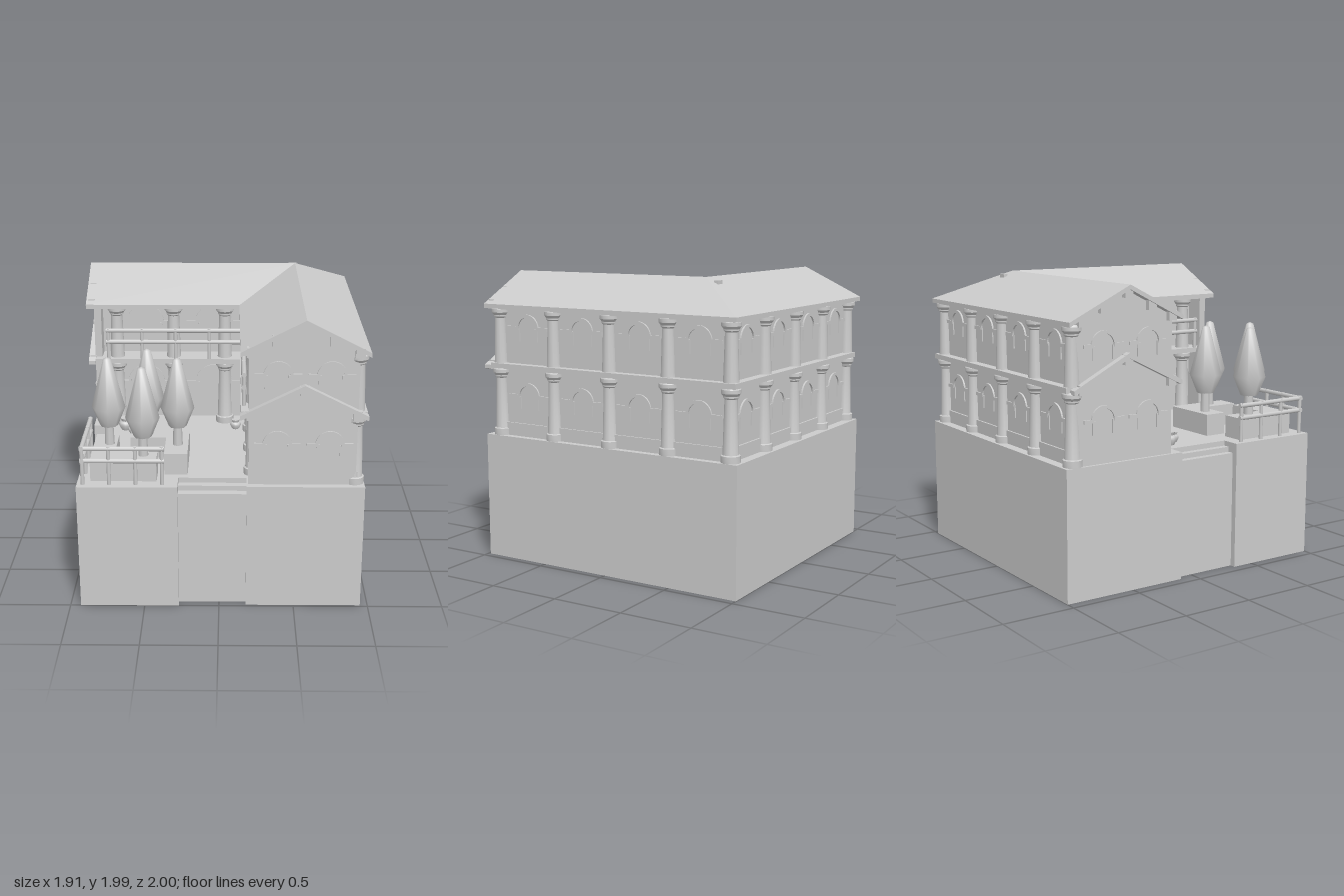
import * as THREE from 'three';
import { toCreasedNormals } from 'three/addons/utils/BufferGeometryUtils.js';

const mat = new THREE.MeshStandardMaterial({ color: 0xcccccc });
const RX = 0.545, RZ = -0.545; // ridge lines of the two wings
const GROUND = 0.87, FLOOR = 1.375;

export function createModel() {
  const root = new THREE.Group();

  const add = (name, geo, x = 0, y = 0, z = 0, parent = root) => {
    const m = new THREE.Mesh(geo, mat);
    m.name = name;
    m.position.set(x, y, z);
    parent.add(m);
    return m;
  };
  // box given by its limits
  const box = (name, x0, x1, y0, y1, z0, z1, parent = root) =>
    add(name, new THREE.BoxGeometry(x1 - x0, y1 - y0, z1 - z0),
      (x0 + x1) / 2, (y0 + y1) / 2, (z0 + z1) / 2, parent);
  const shapeOf = (pts) => new THREE.Shape(pts.map(([a, b]) => new THREE.Vector2(a, b)));
  const extrude = (shape, depth) =>
    new THREE.ExtrudeGeometry(shape, { depth, bevelEnabled: false, curveSegments: 8 });
  // floor plan in x,z raised from y0 to y1
  const plan = (name, pts, y0, y1, hole) => {
    const s = shapeOf(pts.map(([x, z]) => [x, -z]));
    if (hole) s.holes.push(shapeOf(hole.map(([x, z]) => [x, -z])));
    return add(name, extrude(s, y1 - y0).rotateX(-Math.PI / 2), 0, y0, 0);
  };
  const lathe = (pts, sides, crease) => toCreasedNormals(
    new THREE.LatheGeometry(pts.map(([r, y]) => new THREE.Vector2(r, y)), sides), crease);

  // Sweeps a counterclockwise section (offset from ridge, y) round the L, mitred at the corner
  const sweepL = (name, sec, frontZ, leftX) => {
    const backZ = (d) => RZ - d * (d > 0 ? 1.085 : 1);
    const rings = [
      sec.map(([d, y]) => [RX + d, y, frontZ]),
      sec.map(([d, y]) => [RX + d, y, backZ(d)]),
      sec.map(([d, y]) => [leftX, y, backZ(d)]),
    ];
    const pos = [];
    const tri = (a, b, c) => pos.push(...a, ...b, ...c);
    for (let k = 0; k < 2; k++) {
      const [a, b] = [rings[k], rings[k + 1]];
      sec.forEach((_, i) => {
        const j = (i + 1) % sec.length;
        tri(a[i], b[j], a[j]);
        tri(a[i], b[i], b[j]);
      });
    }
    for (const [i, j, k] of THREE.ShapeUtils.triangulateShape(sec.map(([d, y]) => new THREE.Vector2(d, y)), [])) {
      tri(rings[0][i], rings[0][j], rings[0][k]);
      tri(rings[2][i], rings[2][k], rings[2][j]);
    }
    const g = new THREE.BufferGeometry();
    g.setAttribute('position', new THREE.Float32BufferAttribute(pos, 3));
    g.computeVertexNormals();
    return add(name, g);
  };

  // Hollow foundation, terrace and steps
  const footprint = [[-.93, 1], [-.27, 1], [-.27, .945], [.18, .945], [.18, .985], [.95, .985], [.95, -1],
    [-.93, -1], [-.93, -.11], [-.89, -.11], [-.89, .35], [-.93, .35]];
  plan('foundationWalls', footprint, 0, 0.79,
    [[-.92, .99], [-.28, .99], [-.28, .935], [.19, .935], [.19, .975], [.94, .975], [.94, -.99], [-.92, -.99],
      [-.92, -.12], [-.88, -.12], [-.88, .36], [-.92, .36]]);
  plan('foundationSlab', footprint, 0.79, 0.8);
  plan('terrace',
    [[-.93, 1], [-.27, 1], [-.27, .84], [.18, .84], [.18, .985], [.95, .985], [.95, -1], [-.93, -1],
      [-.93, -.11], [-.8, -.11], [-.8, .35], [-.93, .35]], 0.8, GROUND);
  box('frontStep', -.27, .18, .8, .835, .84, .89);
  box('sideStep', -.845, -.8, .8, .835, -.11, .35);
  box('innerFoundationWall', .4, .41, 0, .79, -.39, .85);
  box('innerFoundationWall', -.74, .41, 0, .79, -.39, -.38);

  // Walls: galleries are recessed on the courtyard side, behind full-width end walls
  plan('walls', [[.19, .94], [.89, .94], [.89, -.919], [-.91, -.919], [-.91, -.19], [-.86, -.19],
    [-.86, -.325], [.325, -.325], [.325, .89], [.19, .89]], GROUND, 1.75);
  sweepL('atticWalls', [[-.355, 1.745], [.345, 1.745], [.345, 1.78], [0, 1.955], [-.355, 1.775]], .94, -.91);

  // Roof, eaves and the band between storeys
  const ridge = 1.99, eave = 1.781;
  sweepL('roof', [[-.41, eave - .03], [0, ridge - .03], [.41, eave - .03],
    [.41, eave], [0, ridge], [-.41, eave]], .98, -.96);
  sweepL('eavesBoard', [[-.39, 1.745], [.39, 1.745], [.39, 1.77], [-.39, 1.77]], .93, -.9);
  sweepL('storeyBand', [[-.405, 1.34], [.405, 1.34], [.405, FLOOR], [-.405, FLOOR]], .935, -.905);
  sweepL('plinth', [[.3, GROUND], [.357, GROUND], [.357, .96], [.3, .96]], .94, -.91);
  box('roofVent', .5, .56, 1.92, 1.97, -.64, -.61);

  // Arch moulding with string courses either side; faces local +z
  const archBay = (parent, x, y, width, r) => {
    const s = new THREE.Shape();
    s.absarc(0, 0, r + .02, 0, Math.PI, false);
    s.absarc(0, 0, r, Math.PI, 0, true);
    add('archMoulding', extrude(s, .027), x, y, -.015, parent);
    for (const k of [-1, 1]) {
      const a = x + k * r, b = x + k * width / 2;
      box('stringCourse', Math.min(a, b), Math.max(a, b), y - .012, y + .012, -.015, .012, parent);
      box('archJamb', a - .01, a + .01, y - .09, y, -.015, .008, parent);
    }
  };
  const wallFace = (name, x, z, turn) => {
    const g = new THREE.Group();
    g.name = name;
    g.position.set(x, 0, z);
    g.rotation.y = turn;
    root.add(g);
    return g;
  };
  const rightFace = wallFace('rightFacade', .89, -.02, Math.PI / 2);
  const backFace = wallFace('backFacade', .01, -.919, Math.PI);
  const frontFace = wallFace('frontFacade', RX, .94, 0);
  const leftFace = wallFace('leftFacade', -.91, RZ, -Math.PI / 2);
  const backGallery = wallFace('backGalleryWall', -.3, -.325, 0);
  const sideGallery = wallFace('sideGalleryWall', .325, .35, -Math.PI / 2);
  for (const y of [1.15, 1.62]) {
    for (let i = 0; i < 4; i++) for (const f of [rightFace, backFace])
      archBay(f, (i - 1.5) * .45, y, .34, .075);
    for (const k of [-1, 1]) for (const f of [frontFace, leftFace])
      archBay(f, k * .17, y, .3, .075);
  }
  for (const y of [1.14, 1.6]) for (const k of [-1, 1]) for (const f of [backGallery, sideGallery])
    archBay(f, k * .25, y, .4, .115);

  // Gable rafters and blocks on both ends
  const chevron = shapeOf([[-.41, 1.335], [-.405, 1.33], [0, 1.53], [.405, 1.33], [.41, 1.335],
    [.41, 1.36], [0, 1.565], [-.41, 1.36]]);
  for (const f of [frontFace, leftFace]) {
    add('storeyRafter', extrude(chevron, .05), 0, 0, -.005, f);
    for (const [base, offsets] of [[1.52, [-.34, 0, .34]], [1.94, [-.34, -.18, 0, .18, .34]]])
      for (const d of offsets) {
        const y = base - Math.abs(d) * .48;
        box('rafterBlock', d - .03, d + .03, y - .032, y + .032, -.01, .036, f);
      }
  }

  // Columns
  const capital = (h) => [[.041, h - .075], [.05, h - .066], [.05, h - .056], [.064, h - .038],
    [.064, h - .014], [.054, h], [0, h]];
  const lower = lathe([[0, 0], [.064, 0], [.064, .045], [.053, .05], [.051, .06], ...capital(.475)], 12, .6);
  const upper = lathe([[0, 0], [.052, 0], [.05, .02], ...capital(.385)], 12, .6);
  const column = (x, z) => {
    add('lowerColumn', lower, x, GROUND, z);
    add('upperColumn', upper, x, FLOOR, z);
  };
  for (let i = 0; i < 5; i++) {
    column(.885, .89 - i * .4525);
    if (i < 4) column(-.87 + i * .44, -.92);
  }
  for (const t of [-.75, -.34, .03]) {
    column(t, -.22);
    column(.225, -t);
  }

  // Railings: round posts and two rails between points
  const railing = (name, a, b, y0, y1, n) => {
    const g = new THREE.Group();
    g.name = name;
    root.add(g);
    const post = new THREE.CylinderGeometry(.013, .013, y1 - y0, 8);
    for (let i = 0; i <= n; i++)
      add('post', post, a[0] + (b[0] - a[0]) * i / n, (y0 + y1) / 2, a[1] + (b[1] - a[1]) * i / n, g);
    const dx = b[0] - a[0], dz = b[1] - a[1];
    const bar = new THREE.CylinderGeometry(.016, .016, Math.hypot(dx, dz) + .03, 8)
      .rotateZ(Math.PI / 2).rotateY(-Math.atan2(dz, dx));
    for (const y of [y1 - .1, y1 - .015])
      add('rail', bar, (a[0] + b[0]) / 2, y, (a[1] + b[1]) / 2, g);
  };
  railing('frontRailing', [-.89, .95], [-.37, .95], GROUND, 1.135, 3);
  railing('sideRailing', [-.89, .42], [-.89, .95], GROUND, 1.135, 3);
  railing('backBalconyRailing', [-.81, -.155], [.16, -.155], FLOOR, 1.6, 4);
  railing('sideBalconyRailing', [.16, -.155], [.16, .82], FLOOR, 1.6, 4);

  // Planters and trees
  plan('planter', [[-.61, .345], [-.21, .345], [-.21, .79], [-.365, .79], [-.365, .5], [-.61, .5]], GROUND, 1.02);
  plan('planter', [[-.845, .445], [-.69, .445], [-.69, .74], [-.41, .74], [-.41, .9], [-.845, .9]], GROUND, 1.02);
  const foliage = lathe([[0, 1.15], [.06, 1.155], [.113, 1.285], [.025, 1.62], [0, 1.63]], 8, 1.1);
  const trunk = new THREE.CylinderGeometry(.028, .034, .18, 8);
  for (const [x, z] of [[-.49, .42], [-.74, .61], [-.28, .62], [-.5, .81]]) {
    add('treeFoliage', foliage, x, 0, z);
    add('treeTrunk', trunk, x, 1.09, z);
  }

  // Clay pots
  const pot = lathe([[0, 0], [.025, 0], [.04, .03], [.036, .045], [.024, .052], [.03, .068], [0, .066]], 8, 1.1);
  for (const [x, z, s] of [[.11, -.065, 1], [-.69, -.04, 1.3], [-.63, .035, 1]])
    add('pot', pot, x, GROUND, z).scale.setScalar(s);

  return root;
}
